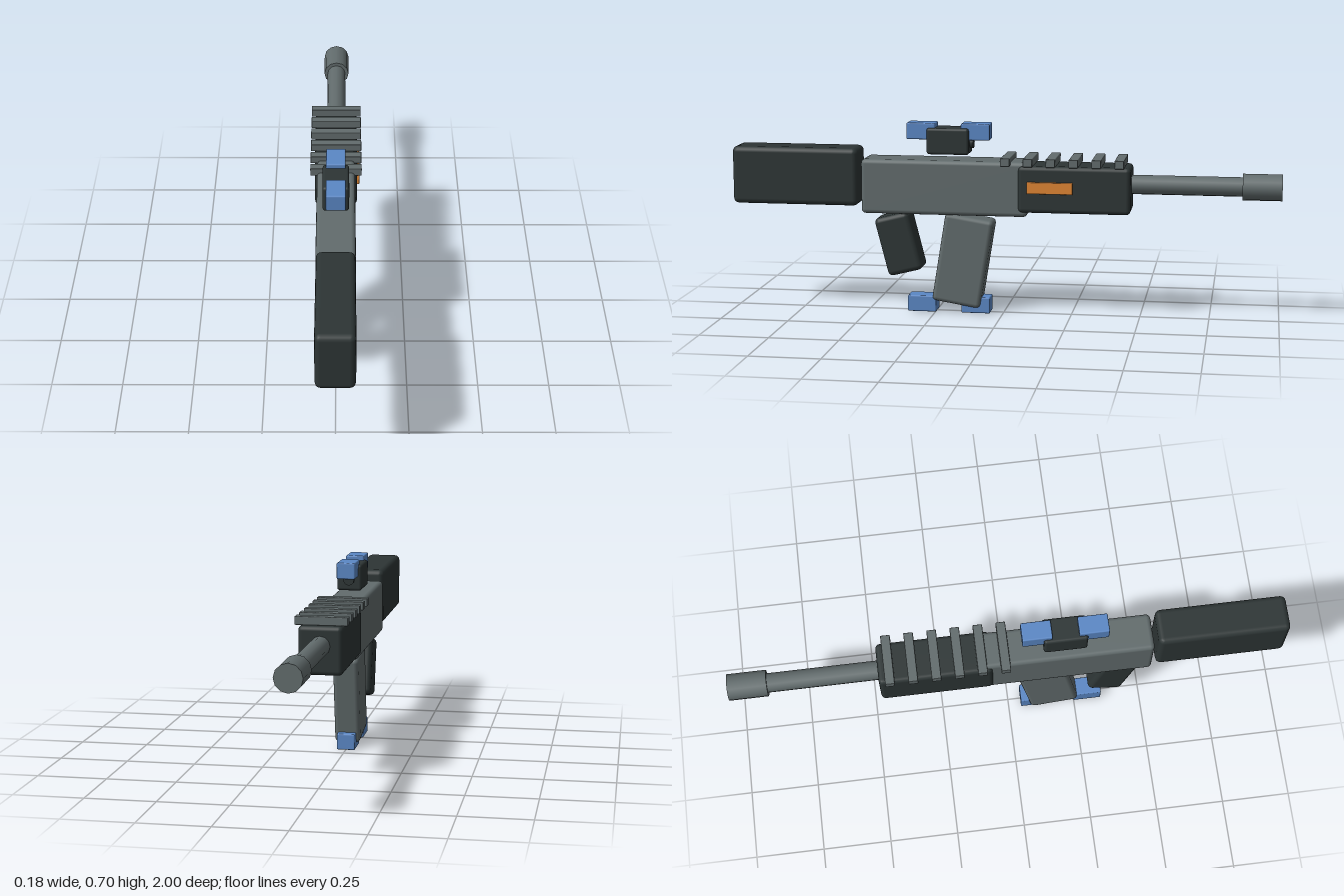
import * as THREE from 'three';
import { RoundedBoxGeometry } from 'three/addons/geometries/RoundedBoxGeometry.js';

function material(name, color) {
  const m = new THREE.MeshStandardMaterial({ color });
  m.name = name;
  return m;
}

export function createModel() {
  const dark = material('charcoal', 0x2d3535);
  const grey = material('steelGrey', 0x626c6d);
  const blue = material('blue', 0x5b88c6);
  const orange = material('orange', 0xe08633);
  const group = new THREE.Group();
  group.name = 'toyBlaster';

  // Rounded block given by its size and centre, tilted about x
  function block(name, mat, [w, h, d], [x, y, z], radius, tilt = 0) {
    const mesh = new THREE.Mesh(new RoundedBoxGeometry(w, h, d, 2, radius), mat);
    mesh.name = name;
    mesh.position.set(x, y, z);
    mesh.rotation.x = tilt;
    group.add(mesh);
  }

  // Cylinder along z, between two z positions
  function rod(name, mat, radius, y, z0, z1) {
    const mesh = new THREE.Mesh(new THREE.CylinderGeometry(radius, radius, z1 - z0, 12), mat);
    mesh.name = name;
    mesh.rotation.x = Math.PI / 2;
    mesh.position.set(0, y, (z0 + z1) / 2);
    group.add(mesh);
  }

  // Main body, from the rear (+z) to the tip (-z)
  block('stock', dark, [0.132, 0.212, 0.47], [0, 0.499, 0.765], 0.02);
  block('receiver', grey, [0.136, 0.2, 0.61], [0, 0.468, 0.212], 0.016);
  block('handguard', dark, [0.154, 0.17, 0.405], [0, 0.471, -0.263], 0.016);
  rod('barrel', grey, 0.035, 0.488, -0.88, -0.44);
  rod('muzzle', grey, 0.048, 0.488, -1, -0.86);

  // Grip and magazine under the receiver
  block('grip', dark, [0.104, 0.22, 0.132], [0, 0.253, 0.384], 0.018, 0.25);
  block('magazine', grey, [0.095, 0.33, 0.18], [0, 0.196, 0.147], 0.016, -0.16);

  // Rail slats across the top
  for (let i = 0; i < 6; i++) {
    block('railSlat', grey, [0.184, 0.03, 0.034], [0, 0.57, -0.016 - i * 0.082], 0.003);
  }

  // Sight with its small lens
  block('sightBody', dark, [0.092, 0.096, 0.155], [0, 0.635, 0.2], 0.01);
  rod('sightLens', dark, 0.02, 0.628, 0.11, 0.15);

  // Blue blocks at the sight and at the magazine foot
  for (const y of [0.67, 0.031]) {
    for (const z of [0.1, 0.3]) {
      block('blueBlock', blue, [0.068, 0.06, 0.106], [0, y, z], 0.005);
    }
  }

  // Accent strip on the left side of the handguard
  block('accentStrip', orange, [0.017, 0.042, 0.165], [0.077, 0.479, -0.177], 0.002);

  return group;
}
